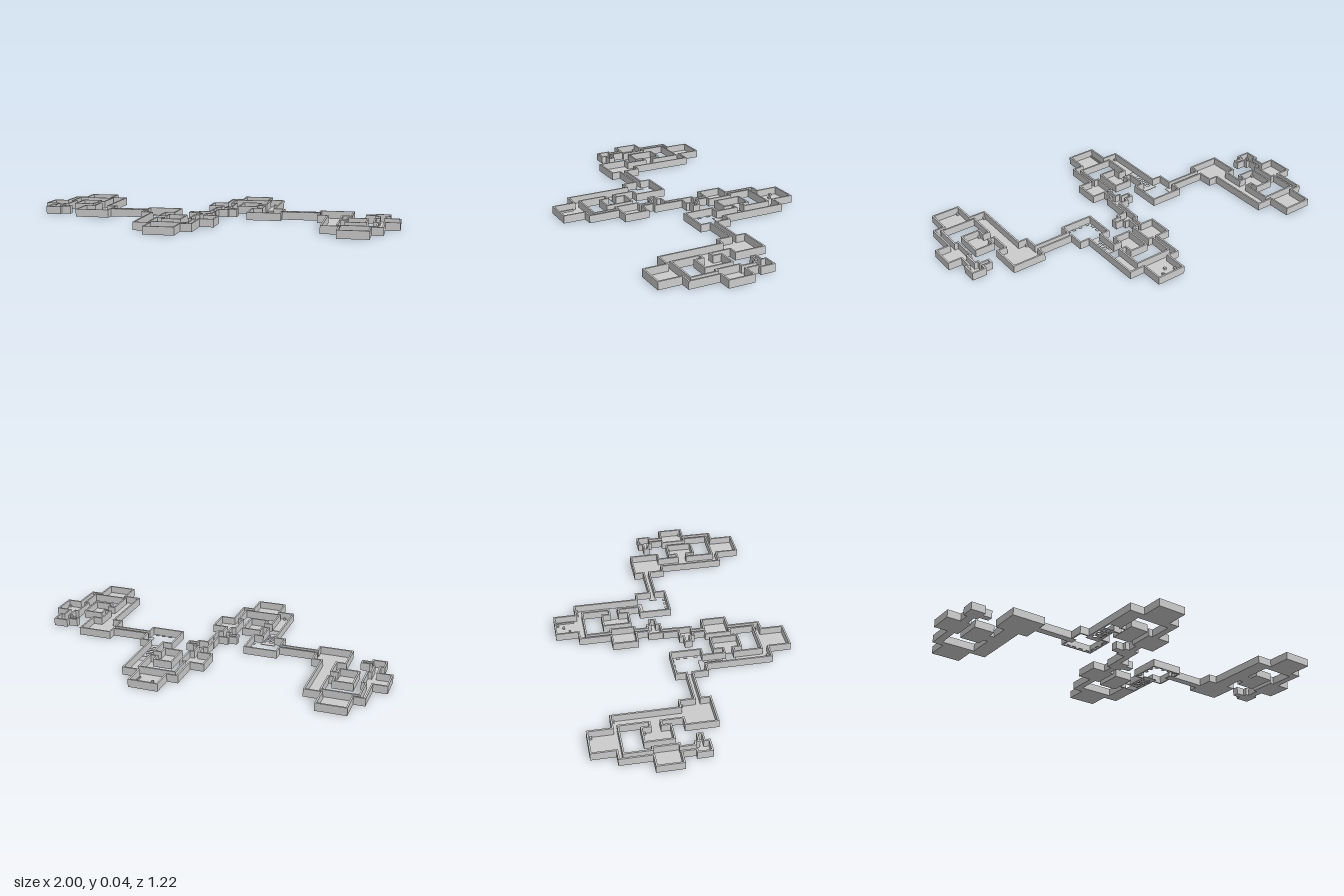
import * as THREE from 'three';
import { mergeGeometries } from 'three/addons/utils/BufferGeometryUtils.js';

const H = 0.042, T = 0.009, FLOOR = 0.003;

// One half of the plan: [name, x0, x1, z0, z1, hasFloor]; the other half is turned 180 degrees.
const AREAS = [
  ['northHall', -0.865, -0.705, -0.54, -0.38, 1],
  ['northPassage', -0.925, -0.615, -0.415, -0.38, 1],
  ['westPassage', -0.925, -0.885, -0.415, -0.25, 1],
  ['westRoom', -1, -0.865, -0.25, -0.11, 1],
  ['westLink', -0.925, -0.885, -0.11, -0.045, 1],
  ['cornerCell', -0.945, -0.865, -0.045, 0.035, 1],
  ['cornerAlcove', -0.865, -0.815, -0.025, 0.01, 1],
  ['eastPassage', -0.7, -0.615, -0.415, -0.065, 1],
  ['innerRoom', -0.835, -0.725, -0.28, -0.125, 1],
  ['innerDoorway', -0.725, -0.7, -0.235, -0.17, 1],
  ['largeRoom', -0.75, -0.565, -0.065, 0.105, 1],
  ['longPassage', -0.565, -0.34, 0.015, 0.055, 1],
  ['openPit', -0.37, -0.185, -0.04, 0.135, 0],
  ['bridgeLanding', -0.315, -0.235, 0.105, 0.135, 1],
  ['bridgePassage', -0.315, -0.235, 0.135, 0.235, 0],
  ['bridgeEnd', -0.315, -0.235, 0.235, 0.255, 1],
  ['gap', -0.315, -0.235, 0.255, 0.305, 0],
  ['gapDoorway', -0.235, -0.205, 0.245, 0.305, 0],
  ['sideRoom', -0.205, -0.1, 0.195, 0.35, 1],
  ['southPassage', -0.315, -0.235, 0.305, 0.49, 1],
  ['southCrossing', -0.315, -0.01, 0.445, 0.49, 1],
  ['southHall', -0.23, -0.07, 0.445, 0.61, 1],
  ['returnPassage', -0.045, -0.01, 0.32, 0.49, 1],
  ['guardRoom', -0.07, 0.065, 0.18, 0.32, 1],
  ['guardLink', -0.045, -0.01, 0.12, 0.18, 1],
  ['middleCell', -0.07, 0.015, 0.04, 0.12, 1],
  ['middleAlcove', -0.115, -0.07, 0.06, 0.1, 1],
  ['centreLink', -0.018, 0.018, 0, 0.04, 1],
];

const slab = (x0, x1, y0, y1, z0, z1) =>
  new THREE.BoxGeometry(x1 - x0, y1 - y0, z1 - z0)
    .translate((x0 + x1) / 2, (y0 + y1) / 2, (z0 + z1) / 2);

// Walls follow the boundary of the joined areas, set just inside it.
function wallGeometry(rects) {
  const sorted = (a) => [...new Set(a)].sort((p, q) => p - q);
  const xs = sorted(rects.flatMap((r) => [r[1], r[2]]));
  const zs = sorted(rects.flatMap((r) => [r[3], r[4]]));
  const cell = xs.slice(1).map((x1, i) => zs.slice(1).map((z1, j) => {
    const x = (xs[i] + x1) / 2, z = (zs[j] + z1) / 2;
    return rects.some((r) => x > r[1] && x < r[2] && z > r[3] && z < r[4]);
  }));
  const inside = (i, j) => !!(cell[i] && cell[i][j]);
  const parts = [];
  // A run along an edge; it reaches T further where it rounds an inner corner.
  const scan = (along, across, isIn, make) => {
    for (let j = 0; j < across.length - 1; j++) {
      for (const side of [-1, 1]) {
        for (let i = 0; i < along.length - 1; i++) {
          const edge = (k) => isIn(k, j) && !isIn(k, j + side);
          if (!edge(i)) continue;
          const start = i;
          while (edge(i + 1)) i++;
          const a0 = along[start] - (isIn(start - 1, j) ? T : 0);
          const a1 = along[i + 1] + (isIn(i + 1, j) ? T : 0);
          const b = side < 0 ? across[j] : across[j + 1];
          parts.push(make(a0, a1, Math.min(b, b - side * T), Math.max(b, b - side * T)));
        }
      }
    }
  };
  scan(xs, zs, (i, j) => inside(i, j), (a0, a1, b0, b1) => slab(a0, a1, 0, H, b0, b1));
  scan(zs, xs, (j, i) => inside(i, j), (a0, a1, b0, b1) => slab(b0, b1, 0, H, a0, a1));
  return mergeGeometries(parts);
}

export function createModel() {
  const model = new THREE.Group();
  const material = new THREE.MeshStandardMaterial({ color: 0xcccccc, flatShading: true });
  const add = (parent, name, geometry) => {
    const mesh = new THREE.Mesh(geometry, material);
    mesh.name = name;
    parent.add(mesh);
  };

  const turned = AREAS.map(([n, x0, x1, z0, z1, f]) => [n, -x1, -x0, -z1, -z0, f]);
  add(model, 'walls', wallGeometry([...AREAS, ...turned]));

  for (const side of ['west', 'east']) {
    const half = new THREE.Group();
    half.name = side + 'Half';
    if (side === 'east') half.rotation.y = Math.PI;
    model.add(half);

    // Floors
    for (const [name, x0, x1, z0, z1, floor] of AREAS) {
      if (floor) add(half, name + 'Floor', slab(x0, x1, 0, FLOOR, z0, z1));
    }

    // Checkered bridge of alternating tiles
    const tiles = [];
    for (let i = 0; i < 4; i++) for (let j = 0; j < 5; j++) {
      if ((i + j) % 2) continue;
      const x = -0.315 + i * 0.02, z = 0.135 + j * 0.02;
      tiles.push(slab(x, x + 0.02, 0, FLOOR, z, z + 0.02));
    }
    add(half, 'bridgeTiles', mergeGeometries(tiles));

    // Small ledges round the pit
    const ledges = [];
    for (const x of [-0.335, -0.3, -0.26, -0.215]) ledges.push(slab(x - 0.009, x + 0.009, 0, FLOOR, -0.031, -0.018));
    for (const z of [0.005, 0.045, 0.1]) ledges.push(slab(-0.207, -0.194, 0, FLOOR, z - 0.01, z + 0.01));
    add(half, 'pitLedges', mergeGeometries(ledges));

    // Low partition in the south hall
    add(half, 'hallPartition', slab(-0.212, -0.206, 0, 0.012, 0.5, 0.595));

    // Small blocks in the room corners
    const blocks = [[-0.725, -0.52], [-0.985, -0.235], [-0.74, -0.262], [-0.82, -0.14],
      [-0.905, -0.405], [-0.63, -0.4], [-0.58, -0.05], [-0.93, 0.02],
      [-0.3, 0.475], [-0.265, 0.475], [-0.03, 0.475]];
    if (side === 'east') blocks.push([-0.09, 0.56], [-0.13, 0.53], [-0.165, 0.56], [-0.19, 0.59]);
    add(half, 'cornerBlocks', mergeGeometries(blocks.map(([x, z]) =>
      slab(x - 0.006, x + 0.006, FLOOR, 0.014, z - 0.006, z + 0.006))));
  }
  return model;
}
